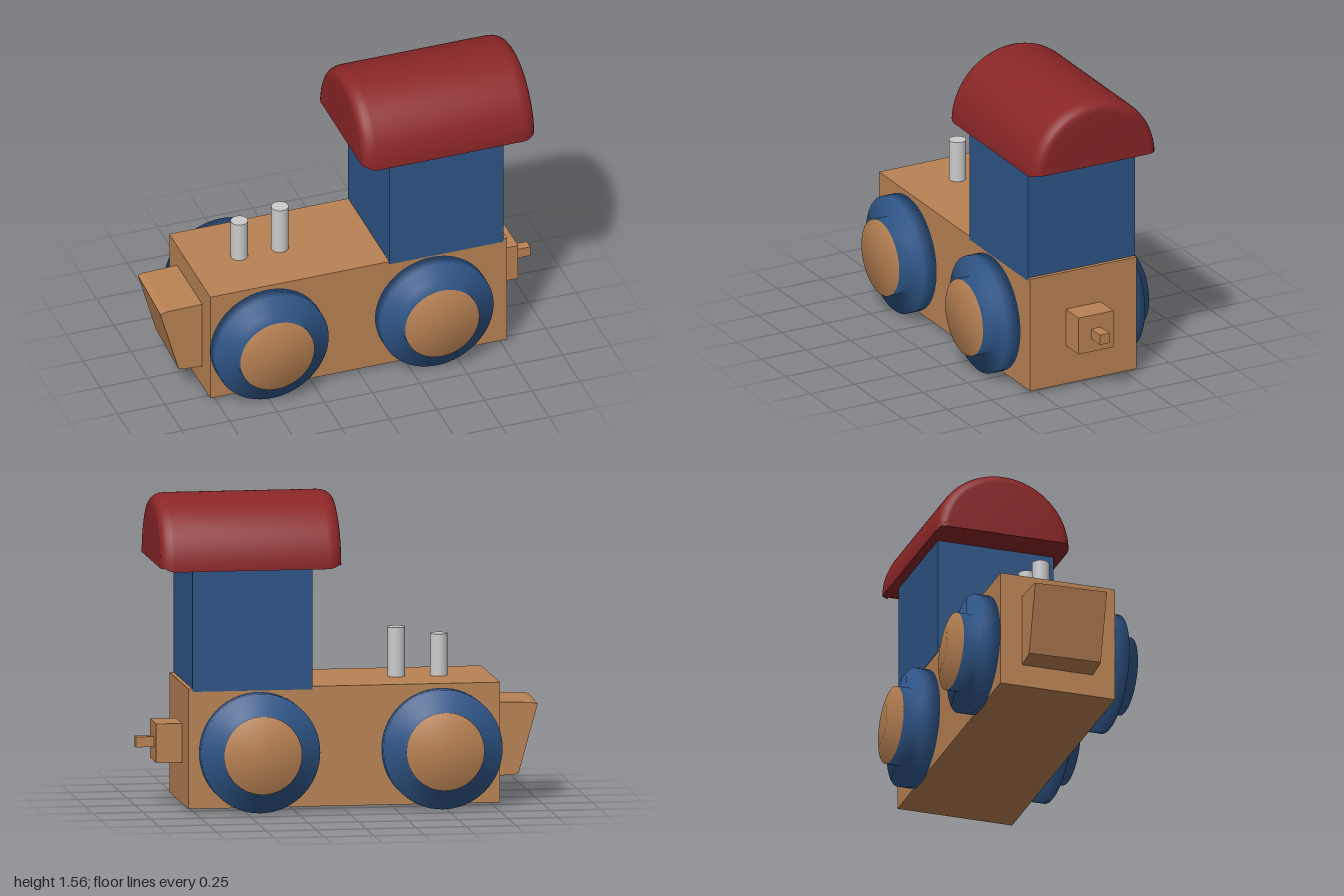
import * as THREE from 'three';
import { toCreasedNormals } from 'three/addons/utils/BufferGeometryUtils.js';

function material(name, color) {
  const m = new THREE.MeshStandardMaterial({ color });
  m.name = name;
  return m;
}

export function createModel() {
  const model = new THREE.Group();
  model.name = 'toyTrain';
  const wood = material('wood', 0xba8354);
  const blue = material('bluePaint', 0x2f5688);
  const red = material('redPaint', 0x8b2627);
  const grey = material('greyMetal', 0xcccccc);

  function add(name, geometry, mat, x = 0, y = 0, z = 0) {
    const mesh = new THREE.Mesh(geometry, mat);
    mesh.name = name;
    mesh.position.set(x, y, z);
    model.add(mesh);
    return mesh;
  }
  // Box given by its x and y limits and its full depth
  function block(name, x0, x1, y0, y1, depth, mat) {
    return add(name, new THREE.BoxGeometry(x1 - x0, y1 - y0, depth), mat, (x0 + x1) / 2, (y0 + y1) / 2);
  }

  // Body, cab and rear coupling
  block('body', -0.78, 0.78, 0.02, 0.62, 0.6, wood);
  block('cab', 0.16, 0.76, 0.605, 1.22, 0.604, blue);
  block('couplingBlock', 0.77, 0.91, 0.225, 0.42, 0.196, wood);
  block('couplingPin', 0.9, 1.0, 0.295, 0.347, 0.052, wood);

  // Half-round roof with rounded ends
  const roofShape = new THREE.Shape();
  roofShape.absarc(0, 0, 0.35, 0, Math.PI, false);
  roofShape.closePath();
  const bevel = 0.07;
  const roofGeo = new THREE.ExtrudeGeometry(roofShape, {
    depth: 0.905 - 2 * bevel, curveSegments: 32,
    bevelEnabled: true, bevelThickness: bevel, bevelSize: 0.05, bevelOffset: -0.05, bevelSegments: 5,
  });
  roofGeo.translate(0, 0, bevel);
  roofGeo.rotateY(Math.PI / 2);
  add('roof', toCreasedNormals(roofGeo, 0.6), red, 0.015, 1.21, 0);

  // Slanted bumper at the nose
  const bumper = new THREE.Shape([
    [-0.77, 0.135], [-0.77, 0.505], [-0.97, 0.5], [-1.0, 0.492], [-0.905, 0.15], [-0.89, 0.143],
  ].map(([x, y]) => new THREE.Vector2(x, y)));
  const bumperGeo = new THREE.ExtrudeGeometry(bumper, { depth: 0.37, bevelEnabled: false });
  bumperGeo.translate(0, 0, -0.188);
  // The far side of the nose sits back a little
  const pos = bumperGeo.attributes.position;
  for (let i = 0; i < pos.count; i++) {
    if (pos.getZ(i) < 0 && pos.getX(i) < -0.8) pos.setX(i, pos.getX(i) + 0.014);
  }
  bumperGeo.computeVertexNormals();
  add('noseBumper', bumperGeo, wood);

  // Chimney pegs
  for (const [x, top] of [[-0.52, 0.83], [-0.307, 0.867]]) {
    const h = top - 0.61;
    add('chimneyPeg', new THREE.CylinderGeometry(0.043, 0.043, h, 32), grey, x, 0.61 + h / 2, 0);
  }

  // Stepped wheel turned in one piece, softly shaded, with a wooden hub face
  const profile = [[0, 0], [0.298, 0], [0.298, 0.076], [0.195, 0.076], [0.195, 0.155], [0, 0.155]]
    .map(([r, y]) => new THREE.Vector2(r, y));
  const sides = 64;
  const wheelGeo = new THREE.LatheGeometry(profile, sides);
  const perSide = (profile.length - 1) * 6;
  for (let i = 0; i < sides; i++) {
    wheelGeo.addGroup(i * perSide, perSide - 6, 0);
    wheelGeo.addGroup((i + 1) * perSide - 6, 6, 1);
  }
  for (const [name, x, side] of [
    ['leftNoseWheel', -0.483, 1], ['leftCabWheel', 0.383, 1],
    ['rightNoseWheel', -0.483, -1], ['rightCabWheel', 0.43, -1],
  ]) {
    const wheel = add(name, wheelGeo, [blue, wood], x, 0.3, side * 0.3);
    wheel.rotation.x = side * Math.PI / 2;
  }

  return model;
}
